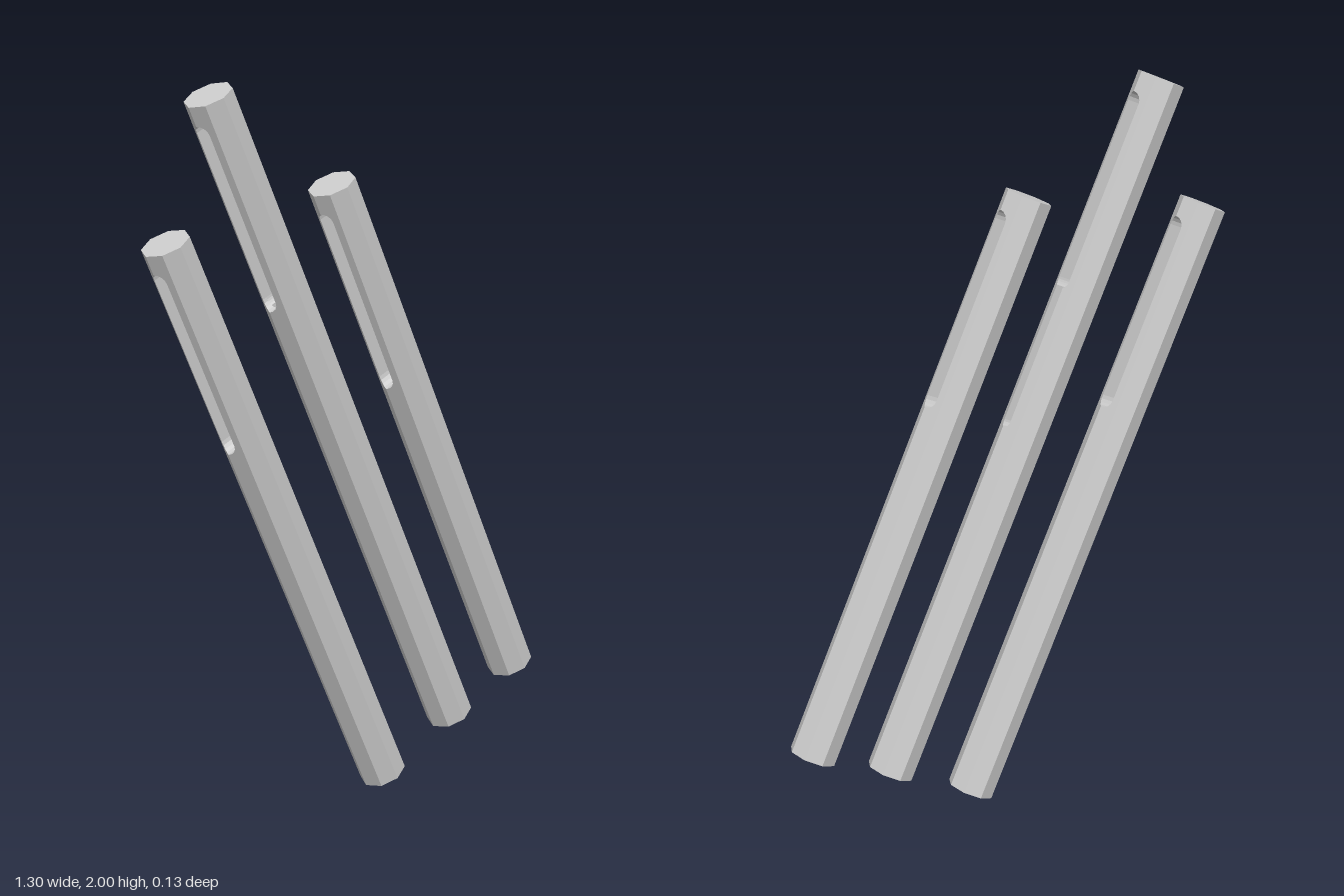
import * as THREE from 'three';
import { mergeGeometries } from 'three/addons/utils/BufferGeometryUtils.js';

const R = 0.065, M = R * Math.SQRT1_2;      // octagon radius and its diagonal corner
const SLOT = 0.027, GROOVE = 0.016;         // half widths
const SLOT_TOP = 0.055, SLOT_END = 0.605;   // distances down from the top
const FLOOR = -0.042;                       // depth reached by the blind groove
const TILT = 0.417;

// half thickness of the octagon at a given z
const half = (z) => {
  const a = Math.abs(z);
  return a < M ? R - a * (R - M) / M : Math.max(0, M - (a - M) * M / (R - M));
};

function arc(radius, cy, from, to, n) {
  return Array.from({ length: n + 1 }, (_, i) => {
    const a = from + (to - from) * i / n;
    return [radius * Math.cos(a), cy + radius * Math.sin(a)];
  });
}

// half outline of the slot from bottom to top, optionally with a narrower groove below
function notch(grooveEnd) {
  const q = Math.PI / 2;
  const pts = [];
  if (grooveEnd) pts.push(...arc(GROOVE, GROOVE - grooveEnd, -q, 0, 4));
  pts.push(...arc(SLOT, SLOT - SLOT_END, grooveEnd ? -Math.acos(GROOVE / SLOT) : -q, 0, 4));
  pts.push(...arc(SLOT, -SLOT_TOP - SLOT, 0, q, 4));
  return pts;
}

// extrude a lengthwise strip across the rod, then fit both ends to lo(z) and hi(z)
function strip(points, lo, hi) {
  const shape = new THREE.Shape(points.map(([x, y]) => new THREE.Vector2(x, y)));
  const geo = new THREE.ExtrudeGeometry(shape, { depth: 1, bevelEnabled: false });
  geo.rotateY(Math.PI / 2);
  const p = geo.attributes.position;
  for (let i = 0; i < p.count; i++) {
    const z = p.getZ(i);
    p.setX(i, p.getX(i) < 0.5 ? lo(z) : hi(z));
  }
  // drop the hidden walls where strips meet
  const kept = [];
  const same = (i, v) => [0, 1, 2].every((k) => Math.abs(Math.abs(p.getZ(i + k)) - v) < 1e-5);
  for (let i = 0; i < p.count; i += 3) {
    if (same(i, 0) || same(i, M) || same(i, R)) continue;
    for (let k = 0; k < 3; k++) kept.push(p.getX(i + k), p.getY(i + k), p.getZ(i + k));
  }
  const out = new THREE.BufferGeometry();
  out.setAttribute('position', new THREE.Float32BufferAttribute(kept, 3));
  return out;
}

// octagonal rod hanging down from its top centre, slotted through from side to side
function rodGeometry(length, grooveEnd) {
  const back = (z) => -half(z), front = half, floor = () => FLOOR;
  const parts = [];
  for (const s of [-1, 1]) {
    parts.push(strip([[s * M, 0], [s * R, 0], [s * R, -length], [s * M, -length]], back, front));
    const inner = (end) => [[0, 0], [s * M, 0], [s * M, -length], [0, -length],
      ...notch(end).map(([x, y]) => [s * x, y])];
    if (grooveEnd) {
      parts.push(strip(inner(0), back, floor), strip(inner(grooveEnd), floor, front));
    } else {
      parts.push(strip(inner(0), back, front));
    }
  }
  const geo = mergeGeometries(parts);
  geo.computeVertexNormals();
  return geo;
}

export function createModel() {
  const group = new THREE.Group();
  group.name = 'slottedRods';
  const material = new THREE.MeshStandardMaterial({ color: 0xcccccc, flatShading: true });
  const rods = [
    { name: 'rightRod', x: -0.588, y: 1.618, length: 1.741, groove: 0 },
    { name: 'middleRod', x: -0.451, y: 1.974, length: 2.005, groove: 1.0 },
    { name: 'leftRod', x: -0.061, y: 1.706, length: 1.603, groove: 0 },
  ];
  for (const rod of rods) {
    const mesh = new THREE.Mesh(rodGeometry(rod.length, rod.groove), material);
    mesh.name = rod.name;
    mesh.position.set(rod.x, rod.y, 0);
    mesh.rotation.z = TILT;
    group.add(mesh);
  }
  return group;
}
